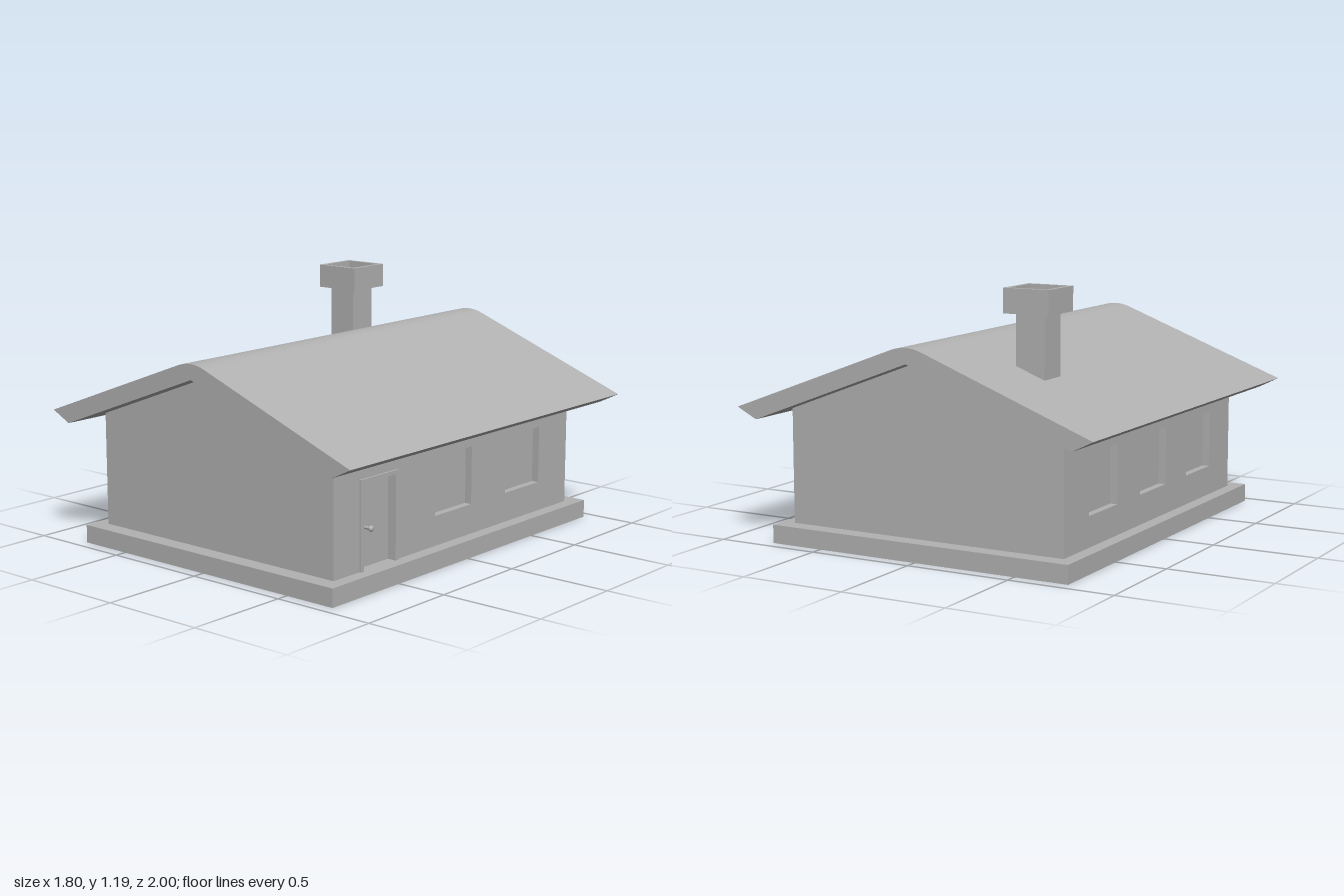
import * as THREE from 'three';
import { toCreasedNormals } from 'three/addons/utils/BufferGeometryUtils.js';

const BASE_TOP = 0.085, WALL_X = 0.695, WALL_Z = 0.865, EAVE = 0.615, RIDGE = 0.88;
const RECESS = 0.035;

export function createModel() {
  const house = new THREE.Group();
  house.name = 'house';
  const grey = new THREE.MeshStandardMaterial({ color: 0xb2b2b2, side: THREE.DoubleSide });
  grey.name = 'plain grey';

  function add(parent, name, geometry, x = 0, y = 0, z = 0) {
    const mesh = new THREE.Mesh(geometry, grey);
    mesh.name = name;
    mesh.position.set(x, y, z);
    parent.add(mesh);
    return mesh;
  }

  // Box keeping only some faces, numbered +x, -x, +y, -y, +z, -z
  function openBox(w, h, d, faces) {
    const g = new THREE.BoxGeometry(w, h, d);
    const all = Array.from(g.index.array);
    g.clearGroups();
    g.setIndex(faces.flatMap((f) => all.slice(f * 6, f * 6 + 6)));
    return g;
  }

  const polygon = (points) => new THREE.Shape(points.map(([x, y]) => new THREE.Vector2(x, y)));
  const rect = (x0, y0, x1, y1) => polygon([[x0, y0], [x1, y0], [x1, y1], [x0, y1]]);

  // Flat horizontal ring: outer rectangle with a rectangular hole
  function ring(w, d, holeW, holeD) {
    const shape = rect(-w / 2, -d / 2, w / 2, d / 2);
    shape.holes.push(rect(-holeW / 2, -holeD / 2, holeW / 2, holeD / 2));
    return new THREE.ShapeGeometry(shape).rotateX(-Math.PI / 2);
  }

  // Plinth, open underneath
  add(house, 'plinthSides', openBox(1.515, BASE_TOP, 1.89, [0, 1, 4, 5]), 0, BASE_TOP / 2, 0);
  add(house, 'plinthTop', ring(1.515, 1.89, WALL_X * 2, WALL_Z * 2), 0, BASE_TOP, 0);

  // Gable walls
  const gable = new THREE.ShapeGeometry(polygon([
    [-WALL_X, BASE_TOP], [WALL_X, BASE_TOP], [WALL_X, EAVE], [0, RIDGE], [-WALL_X, EAVE],
  ]));
  add(house, 'frontGable', gable, 0, 0, WALL_Z);
  add(house, 'backGable', gable, 0, 0, -WALL_Z).rotation.y = Math.PI;

  // Side wall drawn facing +z, with window recesses centred at the given places
  function sideWall(name, sign, windows, door) {
    const wall = new THREE.Group();
    wall.name = name;
    wall.position.x = sign * WALL_X;
    wall.rotation.y = sign * Math.PI / 2;
    const outline = [[-WALL_Z, BASE_TOP]];
    if (door) {
      outline.push([door.x0, BASE_TOP], [door.x0, door.top], [door.x1, door.top], [door.x1, BASE_TOP]);
    }
    outline.push([WALL_Z, BASE_TOP], [WALL_Z, EAVE], [-WALL_Z, EAVE]);
    const shape = polygon(outline);
    for (const u of windows) {
      shape.holes.push(rect(u - 0.135, 0.225, u + 0.135, 0.497));
      add(wall, 'windowRecess', openBox(0.27, 0.272, RECESS, [0, 1, 2, 3, 5]), u, 0.361, -RECESS / 2);
    }
    add(wall, 'wallFace', new THREE.ShapeGeometry(shape));
    house.add(wall);
    return wall;
  }

  sideWall('rightSideWall', -1, [-0.5, 0, 0.5]);
  const door = { x0: -0.675, x1: -0.46, top: 0.475 };
  const doorWall = sideWall('leftSideWall', 1, [-0.035, 0.5], door);

  // Door recess, frame and knob
  const doorH = door.top - BASE_TOP;
  add(doorWall, 'door', openBox(door.x1 - door.x0, doorH, RECESS, [0, 1, 2, 3, 5]),
    (door.x0 + door.x1) / 2, BASE_TOP + doorH / 2, -RECESS / 2);
  const frame = polygon([
    [-0.697, BASE_TOP], [door.x0, BASE_TOP], [door.x0, door.top], [door.x1, door.top],
    [door.x1, BASE_TOP], [-0.438, BASE_TOP], [-0.438, 0.493], [-0.697, 0.493],
  ]);
  add(doorWall, 'doorFrame', new THREE.ExtrudeGeometry(frame, { depth: 0.009, bevelEnabled: false }));
  add(doorWall, 'knobStem', new THREE.CylinderGeometry(0.007, 0.007, 0.035, 12).rotateX(Math.PI / 2),
    -0.62, 0.263, -0.018);
  add(doorWall, 'doorKnob', new THREE.SphereGeometry(0.014, 16, 10).scale(1, 1, 0.8), -0.62, 0.263, 0.001);

  // Roof slab with a rounded ridge
  const roof = new THREE.Shape();
  roof.moveTo(0, RIDGE);
  roof.lineTo(0.8, 0.575);
  roof.lineTo(0.9, 0.625);
  roof.lineTo(0.08, 0.935);
  roof.quadraticCurveTo(0, 0.966, -0.08, 0.935);
  roof.lineTo(-0.9, 0.625);
  roof.lineTo(-0.8, 0.575);
  roof.closePath();
  const roofGeometry = new THREE.ExtrudeGeometry(roof, { depth: 2, bevelEnabled: false, curveSegments: 12 });
  add(house, 'roof', toCreasedNormals(roofGeometry, 0.3), 0, 0, -1);

  // Chimney with a hollow cap
  const chimney = new THREE.Group();
  chimney.name = 'chimney';
  chimney.position.set(-0.388, 0, -0.533);
  add(chimney, 'chimneyStack', new THREE.BoxGeometry(0.142, 0.32, 0.142), 0, 0.92, 0);
  add(chimney, 'chimneyCap', openBox(0.224, 0.112, 0.224, [0, 1, 3, 4, 5]), 0, 1.134, 0);
  add(chimney, 'chimneyRim', ring(0.224, 0.224, 0.184, 0.184), 0, 1.19, 0);
  add(chimney, 'chimneyOpening', openBox(0.184, 0.04, 0.184, [0, 1, 3, 4, 5]), 0, 1.17, 0);
  house.add(chimney);

  return house;
}
